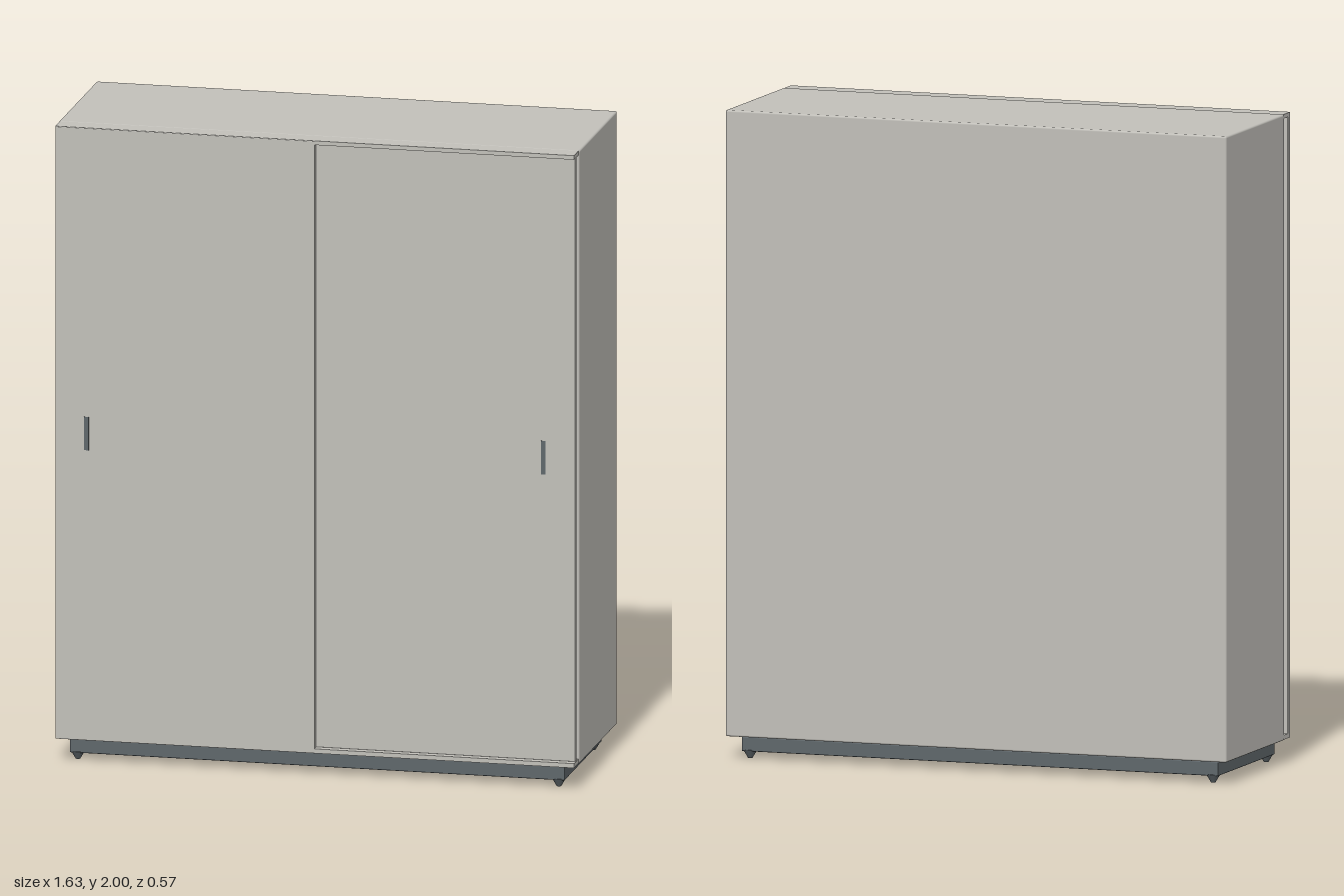
import * as THREE from 'three';
import { RoundedBoxGeometry } from 'three/addons/geometries/RoundedBoxGeometry.js';

export function createModel() {
  const model = new THREE.Group();
  model.name = 'slidingDoorWardrobe';

  const panel = new THREE.MeshStandardMaterial({ color: 0xc2c0ba });
  panel.name = 'warm grey panel';
  const metal = new THREE.MeshStandardMaterial({ color: 0x5f676b });
  metal.name = 'dark grey metal';

  const add = (name, geometry, material) => {
    const mesh = new THREE.Mesh(geometry, material);
    mesh.name = name;
    model.add(mesh);
    return mesh;
  };
  // Box given by its limits on each axis, with optional eased edges
  const box = (name, material, [x0, x1], [y0, y1], [z0, z1], radius = 0) => {
    const size = [x1 - x0, y1 - y0, z1 - z0];
    const geometry = radius
      ? new RoundedBoxGeometry(...size, 2, radius)
      : new THREE.BoxGeometry(...size);
    add(name, geometry, material).position.set((x0 + x1) / 2, (y0 + y1) / 2, (z0 + z1) / 2);
  };

  const W = 0.815, bottom = 0.07, top = 2, front = 0.285, bodyFront = 0.225;

  // Cabinet body
  box('body', panel, [-W, W], [bottom, top], [-0.285, bodyFront], 0.006);

  // Top and bottom rails that carry the doors
  box('topRail', panel, [-0.812, 0.812], [1.986, 1.999], [bodyFront - 0.01, front - 0.001]);
  box('bottomRail', panel, [-0.812, 0.812], [0.072, 0.086], [bodyFront - 0.01, front - 0.001]);

  // Outer door on the -x half, inner door behind it on the +x half
  box('outerDoor', panel, [-0.812, 0], [0.072, 1.998], [0.263, front], 0.001);
  box('innerDoor', panel, [-0.01, 0.81], [0.086, 1.986], [0.238, 0.26], 0.001);

  // Flush handle plates
  box('outerHandle', metal, [-0.722, -0.707], [0.985, 1.09], [0.281, front + 0.001]);
  box('innerHandle', metal, [0.703, 0.717], [0.985, 1.09], [0.256, 0.262]);

  // Plinth with a slimmer neck under the body
  box('plinth', metal, [-0.775, 0.775], [0.022, 0.066], [-0.25, 0.25], 0.003);
  box('plinthNeck', metal, [-0.765, 0.765], [0.06, 0.074], [-0.24, 0.24]);

  // Tapered levelling feet
  const footGeometry = new THREE.CylinderGeometry(0.022, 0.007, 0.026, 16);
  for (const x of [-0.753, 0.753]) {
    for (const z of [-0.232, 0.232]) {
      add('foot', footGeometry, metal).position.set(x, 0.013, z);
    }
  }
  return model;
}
